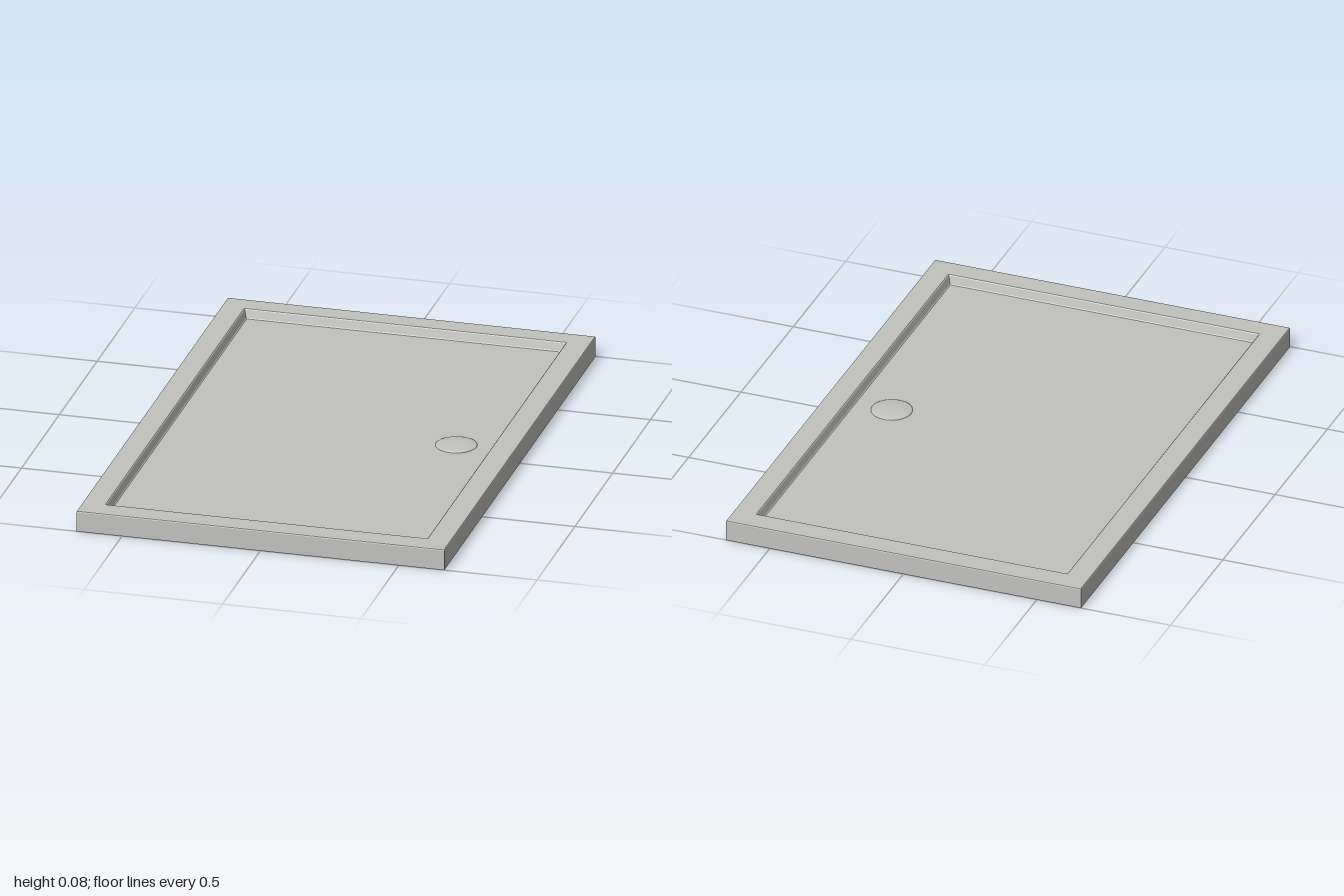
import * as THREE from 'three';

const HX = 0.665, HZ = 1, TOP = 0.077, FLOOR = 0.044;
const DRAIN = { x: 0.435, z: 0, r: 0.073 };

// Mitred rectangular band swept through [inset, height] rings
function band(rings) {
  const pos = [];
  const corner = ([inset, y], k) => {
    const sx = k === 0 || k === 3 ? -1 : 1, sz = k < 2 ? 1 : -1;
    return [sx * (HX - inset), y, sz * (HZ - inset)];
  };
  for (let i = 0; i < rings.length - 1; i++) {
    for (let k = 0; k < 4; k++) {
      const n = (k + 1) % 4;
      const a = corner(rings[i], k), b = corner(rings[i], n);
      const c = corner(rings[i + 1], n), d = corner(rings[i + 1], k);
      pos.push(...a, ...b, ...c, ...a, ...c, ...d);
    }
  }
  const geo = new THREE.BufferGeometry();
  geo.setAttribute('position', new THREE.Float32BufferAttribute(pos, 3));
  geo.computeVertexNormals();
  return geo;
}

export function createModel() {
  const tray = new THREE.Group();
  tray.name = 'showerTray';
  const acrylic = new THREE.MeshStandardMaterial({ color: 0xc2c2bf });
  acrylic.name = 'pale grey acrylic';
  acrylic.side = THREE.DoubleSide;

  const add = (name, geometry) => {
    const mesh = new THREE.Mesh(geometry, acrylic);
    mesh.name = name;
    tray.add(mesh);
    return mesh;
  };

  // Thin skirt with softened upper edge, open underneath
  add('outerSkirt', band([[0, 0], [0, TOP - 0.005], [0.0015, TOP - 0.0015], [0.005, TOP]]));

  // Flat rim around the basin
  add('rim', band([[0.005, TOP], [0.082, TOP]]));

  // Slightly sloping step down to the floor
  add('basinStep', band([[0.082, TOP], [0.085, TOP - 0.003], [0.092, FLOOR + 0.003], [0.095, FLOOR]]));

  // Basin floor with the waste opening cut out
  const fx = HX - 0.095, fz = HZ - 0.095;
  const shape = new THREE.Shape([
    new THREE.Vector2(-fx, -fz), new THREE.Vector2(fx, -fz),
    new THREE.Vector2(fx, fz), new THREE.Vector2(-fx, fz),
  ]);
  const hole = new THREE.Path();
  hole.absarc(DRAIN.x, -DRAIN.z, DRAIN.r, 0, Math.PI * 2, true);
  shape.holes.push(hole);
  const floor = new THREE.ShapeGeometry(shape, 24);
  floor.rotateX(-Math.PI / 2);
  add('basinFloor', floor).position.y = FLOOR;

  // Shallow domed waste cover, with a small lip below the floor
  const profile = [[0.073, -0.004], [0.073, 0.002], [0.068, 0.004], [0.05, 0.007], [0.025, 0.009], [0, 0.0095]];
  const cover = add('drainCover', new THREE.LatheGeometry(
    profile.map(([r, y]) => new THREE.Vector2(r, y)), 48));
  cover.position.set(DRAIN.x, FLOOR, DRAIN.z);

  return tray;
}
